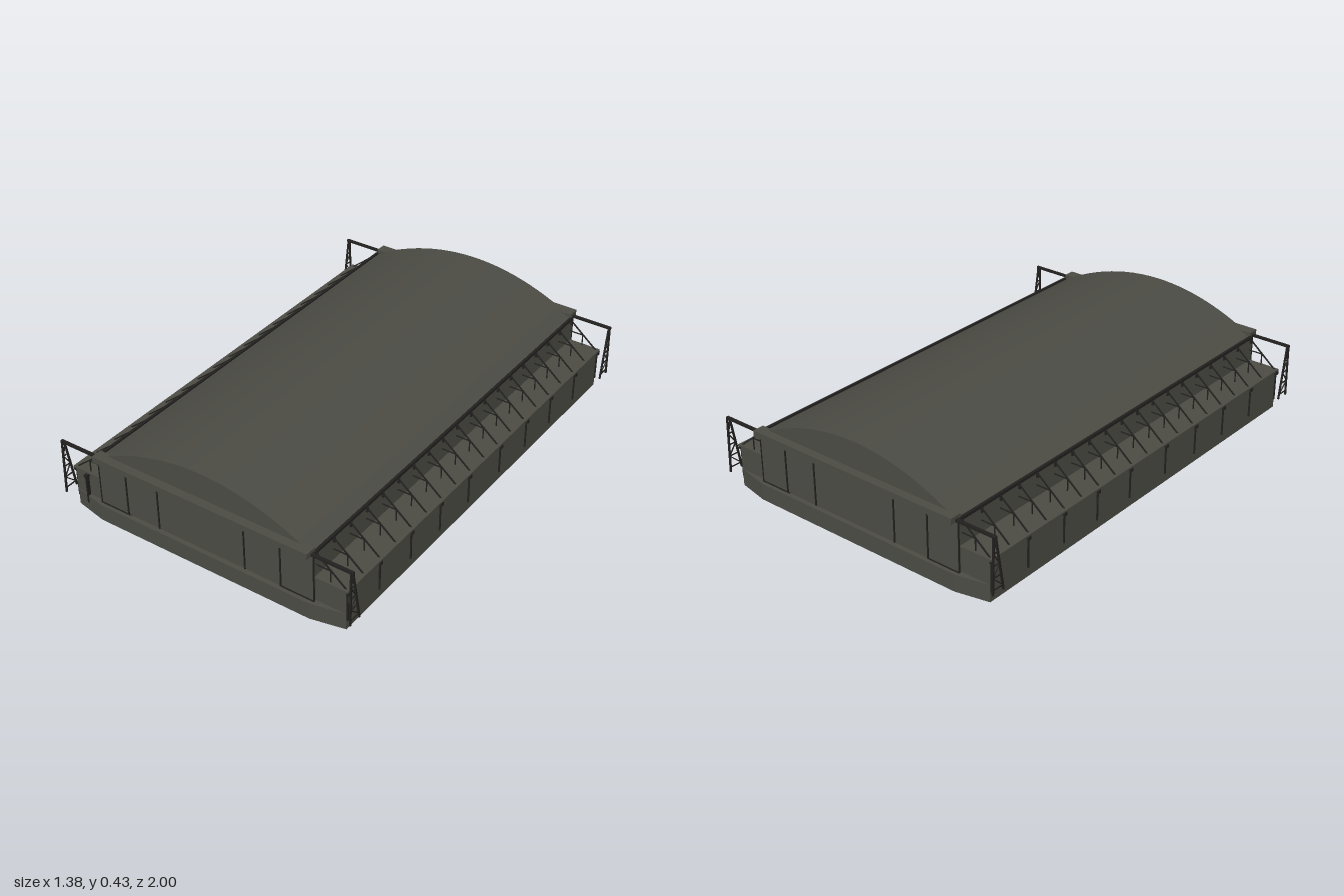
import * as THREE from 'three';

const body = new THREE.MeshStandardMaterial({ color: 0x4b4b44 });
body.name = 'olive grey cladding';
const steel = new THREE.MeshStandardMaterial({ color: 0x22211f });
steel.name = 'dark steel';

export function createModel() {
  const root = new THREE.Group();
  root.name = 'hangar';

  function box(parent, name, mat, x0, x1, y0, y1, z0, z1) {
    const m = new THREE.Mesh(new THREE.BoxGeometry(Math.abs(x1 - x0), y1 - y0, Math.abs(z1 - z0)), mat);
    m.position.set((x0 + x1) / 2, (y0 + y1) / 2, (z0 + z1) / 2);
    m.name = name;
    parent.add(m);
    return m;
  }
  // Square bar between two points
  function bar(parent, name, a, b, t = 0.005) {
    const from = new THREE.Vector3(...a), to = new THREE.Vector3(...b);
    const m = new THREE.Mesh(new THREE.BoxGeometry(t, t, from.distanceTo(to)), steel);
    m.position.copy(from).add(to).multiplyScalar(0.5);
    m.lookAt(to);
    m.name = name;
    parent.add(m);
  }
  function group(name) {
    const g = new THREE.Group();
    g.name = name;
    root.add(g);
    return g;
  }

  // Plinth with bevelled corners in plan
  const plan = new THREE.Shape([
    [-0.642, -0.955], [-0.5, -0.985], [0.5, -0.985], [0.642, -0.955],
    [0.642, 0.955], [0.5, 0.985], [-0.5, 0.985], [-0.642, 0.955],
  ].map(([x, y]) => new THREE.Vector2(x, y)));
  const plinthGeo = new THREE.ExtrudeGeometry(plan, { depth: 0.073, bevelEnabled: false });
  plinthGeo.rotateX(-Math.PI / 2);
  const plinth = new THREE.Mesh(plinthGeo, body);
  plinth.name = 'plinth';
  root.add(plinth);

  // Tall hall and the lower side wings
  box(root, 'mainHall', body, -0.508, 0.508, 0.07, 0.29, -0.965, 0.965);
  for (const s of [-1, 1]) {
    box(root, 'sideWing', body, s * 0.5, s * 0.642, 0.07, 0.178, -0.955, 0.955);
    box(root, 'wingRoof', body, s * 0.5, s * 0.652, 0.176, 0.184, -0.96, 0.96);
  }

  // Curved roof: a shallow arch run along z
  const arch = [];
  const N = 24;
  for (let i = 0; i <= N; i++) {
    const x = 0.503 * (1 - (2 * i) / N);
    arch.push([x, 0.43 - 0.14 * (x / 0.503) ** 2]);
  }
  const pos = [], nor = [], idx = [];
  for (const [x, y] of arch) {
    const n = new THREE.Vector3((0.28 * x) / 0.503 ** 2, 1, 0).normalize();
    for (const z of [-0.965, 0.965]) {
      pos.push(x, y, z);
      nor.push(n.x, n.y, n.z);
    }
  }
  for (let i = 0; i < N; i++) {
    const a = i * 2;
    idx.push(a, a + 2, a + 1, a + 1, a + 2, a + 3);
  }
  const roofGeo = new THREE.BufferGeometry();
  roofGeo.setAttribute('position', new THREE.Float32BufferAttribute(pos, 3));
  roofGeo.setAttribute('normal', new THREE.Float32BufferAttribute(nor, 3));
  roofGeo.setIndex(idx);
  const roofMat = body.clone();
  roofMat.side = THREE.DoubleSide;
  const roof = new THREE.Mesh(roofGeo, roofMat);
  roof.name = 'archedRoof';
  root.add(roof);
  const gableShape = new THREE.Shape(arch.map(([x, y]) => new THREE.Vector2(x, y)));
  for (const s of [-1, 1]) {
    const gable = new THREE.Mesh(new THREE.ShapeGeometry(gableShape), body);
    gable.position.z = s * 0.964;
    if (s < 0) gable.rotation.y = Math.PI;
    gable.name = 'gable';
    root.add(gable);
  }

  // End walls: door header, door seams and sill pieces
  for (const s of [-1, 1]) {
    box(root, 'doorHeader', body, -0.505, 0.505, 0.288, 0.314, s * 0.95, s * 1.0);
    const doors = group('endDoors');
    for (const x of [-0.37, -0.215, 0.195, 0.36]) {
      box(doors, 'doorSeam', steel, s * x - 0.0025, s * x + 0.0025, 0.075, 0.289, s * 0.96, s * 0.97);
    }
    for (const e of [-1, 1]) {
      box(doors, 'doorSideSeam', steel, e * 0.506, e * 0.51, 0.075, 0.289, s * 0.962, s * 0.968);
      box(doors, 'sillPiece', steel, e * 0.36, e * 0.51, 0.073, 0.076, s * 0.962, s * 0.97);
    }
    box(doors, 'doorTrack', steel, -0.505, 0.505, 0.284, 0.288, s * 0.962, s * 0.972);
  }

  // Eave gutters along the hall
  for (const s of [-1, 1]) {
    box(root, 'eaveGutter', steel, s * 0.5, s * 0.511, 0.286, 0.299, -0.965, 0.965);
  }

  // Braces over the wing roofs
  for (const s of [-1, 1]) {
    const braces = group('roofBraces');
    for (let i = -9; i <= 9; i++) {
      const z = i * 0.1053;
      bar(braces, 'diagonalBrace', [s * 0.505, 0.292, z], [s * 0.638, 0.182, z]);
      bar(braces, 'braceTie', [s * 0.505, 0.235, z], [s * 0.572, 0.235, z], 0.004);
      bar(braces, 'bracePost', [s * 0.571, 0.18, z], [s * 0.571, 0.237, z], 0.004);
      box(braces, 'braceBracket', steel, s * 0.506, s * 0.516, 0.268, 0.29, z - 0.004, z + 0.004);
    }
  }

  // Downpipes with hopper heads along the wing walls
  for (const s of [-1, 1]) {
    const pipes = group('downpipes');
    for (const k of [-0.95, -0.745, -0.535, -0.33, -0.12, 0.12, 0.33, 0.535, 0.745, 0.95]) {
      box(pipes, 'hopperHead', steel, s * 0.642, s * 0.655, 0.162, 0.177, k - 0.006, k + 0.006);
      box(pipes, 'downpipe', steel, s * 0.642, s * 0.648, 0.04, 0.165, k - 0.0025, k + 0.0025);
    }
  }
  box(root, 'frontDownpipe', steel, -0.583, -0.577, 0.04, 0.17, 0.955, 0.972);
  box(root, 'frontHopperHead', steel, -0.587, -0.573, 0.163, 0.176, 0.955, 0.974);

  // Corner door-rail gantries: beam on a latticed two-legged trestle
  for (const s of [-1, 1]) {
    for (const e of [-1, 1]) {
      const g = group('cornerGantry');
      const x = s * 0.68, zo = e * 0.978;
      box(g, 'gantryBeam', steel, s * 0.49, s * 0.688, 0.292, 0.302, e * 0.966, e * 0.978);
      const outer = (y) => [x, y, zo + e * (0.3 - y) * 0.03];
      const inner = (y) => [x, y, e * (0.968 - (0.3 - y) * 0.17)];
      bar(g, 'outerLeg', outer(0.3), outer(0.06), 0.007);
      bar(g, 'innerLeg', inner(0.3), inner(0.06), 0.007);
      for (let i = 0; i < 4; i++) {
        const y0 = 0.08 + i * 0.05, y1 = y0 + 0.05;
        bar(g, 'crossBar', outer(y0), inner(y0), 0.004);
        bar(g, 'latticeBar', i % 2 ? outer(y0) : inner(y0), i % 2 ? inner(y1) : outer(y1), 0.004);
      }
    }
  }

  return root;
}
